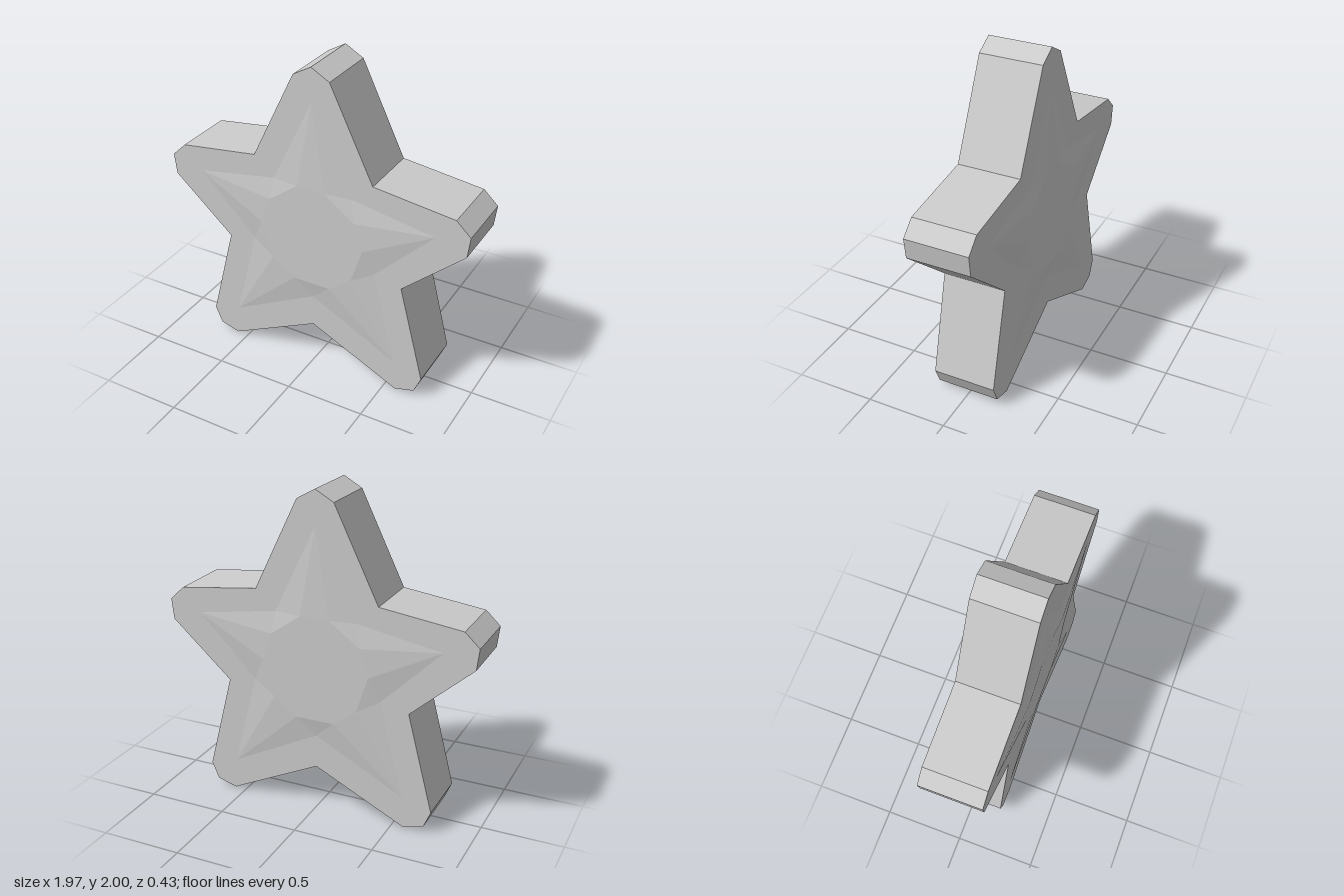
import * as THREE from 'three';

const HALF = 0.195;    // half thickness of the slab
const RAISED = 0.215;  // height of the raised plateau
const CENTRE = new THREE.Vector2(0, 0.92);

// Right half of the outline, from the top tip to the bottom notch
const RIGHT = [[0, 2], [0.115, 1.935], [0.39, 1.37], [0.895, 1.305], [0.985, 1.22], [0.97, 1.09],
  [0.588, 0.75], [0.745, 0.14], [0.7, 0.035], [0.575, 0], [0, 0.28]];

// Tips and notches of the raised star, counter-clockwise from the top
const TIPS = [[0, 1.79], [-0.78, 1.16], [-0.56, 0.2], [0.56, 0.2], [0.78, 1.16]];
const NOTCHES = [[-0.26, 1.25], [-0.41, 0.79], [0, 0.49], [0.41, 0.79], [0.26, 1.25]];

function reliefGeometry() {
  const tips = TIPS.map(([x, y]) => new THREE.Vector3(x, y, HALF));
  const notches = NOTCHES.map(([x, y]) => new THREE.Vector3(x, y, HALF));
  // Two plateau corners sit just inside each notch
  const corner = (i, side) => {
    const a = THREE.MathUtils.degToRad(126 + 72 * i);
    return new THREE.Vector3(
      CENTRE.x + 0.32 * Math.cos(a) - side * 0.12 * Math.sin(a),
      CENTRE.y + 0.32 * Math.sin(a) + side * 0.12 * Math.cos(a), RAISED);
  };
  const middle = new THREE.Vector3(CENTRE.x, CENTRE.y, RAISED);
  const points = [];
  for (let i = 0; i < 5; i++) {
    const tip = tips[i], notch = notches[i], nextTip = tips[(i + 1) % 5];
    const a = corner(i, -1), b = corner(i, 1), before = corner(i - 1, 1);
    points.push(
      middle, a, b, middle, before, a,  // plateau
      tip, a, before,                   // sloping arm
      tip, notch, a, notch, b, a, notch, nextTip, b); // bevels around the notch
  }
  const geometry = new THREE.BufferGeometry().setFromPoints(points);
  geometry.computeVertexNormals();
  return geometry;
}

export function createModel() {
  const group = new THREE.Group();
  group.name = 'star';
  const material = new THREE.MeshStandardMaterial({ color: 0xcccccc, flatShading: true });

  // Slab with blunt tips
  const left = RIGHT.slice(1, -1).reverse().map(([x, y]) => [-x, y]);
  const shape = new THREE.Shape([...RIGHT, ...left].map(([x, y]) => new THREE.Vector2(x, y)));
  const slab = new THREE.ExtrudeGeometry(shape, { depth: HALF * 2, bevelEnabled: false });
  slab.translate(0, 0, -HALF);
  const body = new THREE.Mesh(slab, material);
  body.name = 'starBody';
  group.add(body);

  // Low faceted star on both faces
  const relief = reliefGeometry();
  for (const [name, turn] of [['frontRelief', 0], ['backRelief', Math.PI]]) {
    const mesh = new THREE.Mesh(relief, material);
    mesh.name = name;
    mesh.rotation.y = turn;
    group.add(mesh);
  }
  return group;
}
